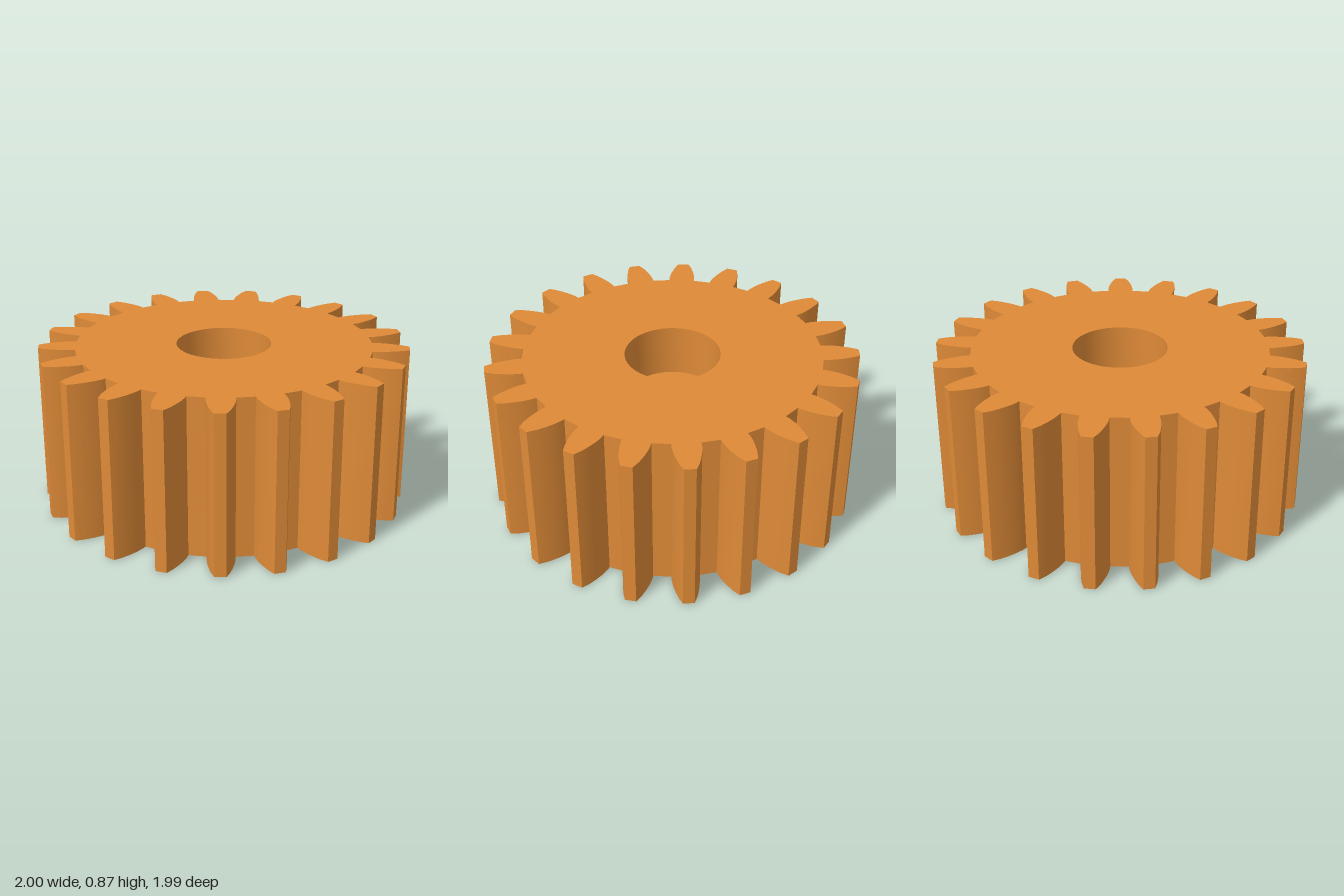
import * as THREE from 'three';
import { toCreasedNormals } from 'three/addons/utils/BufferGeometryUtils.js';

const HEIGHT = 0.87;
const TEETH = 21;
const TOP_BORE = 0.257, SHAFT = 0.145, BOTTOM_BORE = 0.4;
const LEDGE_TOP = 0.58, LEDGE_BOTTOM = 0.5;

// Half of one tooth: [half width, distance from the axis], root to tip
const FLANK = [[0.072, 0.8], [0.073, 0.83], [0.069, 0.87], [0.061, 0.91], [0.049, 0.955], [0.03, 1.0]];

function gearOutline() {
  const tooth = [
    ...FLANK.map(([w, r]) => [-w, r]),
    ...[...FLANK].reverse(),
  ];
  const points = [];
  for (let i = 0; i < TEETH; i++) {
    const a = -i * 2 * Math.PI / TEETH;
    for (const [x, y] of tooth) {
      points.push(new THREE.Vector2(x, y).rotateAround(new THREE.Vector2(), a));
    }
  }
  return points;
}

// Flat gear face with a round hole, facing up or down
function faceGeometry(outline, holeRadius, y, up) {
  const sign = up ? -1 : 1;
  const shape = new THREE.Shape(outline.map(p => new THREE.Vector2(p.x, sign * p.y)));
  const hole = new THREE.Path();
  hole.absarc(0, 0, holeRadius, 0, Math.PI * 2, true);
  shape.holes.push(hole);
  const geo = new THREE.ShapeGeometry(shape, 32);
  geo.rotateX(sign * Math.PI / 2);
  geo.translate(0, y, 0);
  return geo;
}

// Upright wall following the teeth, facing outwards
function wallGeometry(outline) {
  const pos = [];
  outline.forEach((p, i) => {
    const q = outline[(i + 1) % outline.length];
    pos.push(
      p.x, 0, p.y, q.x, HEIGHT, q.y, p.x, HEIGHT, p.y,
      p.x, 0, p.y, q.x, 0, q.y, q.x, HEIGHT, q.y,
    );
  });
  const geo = new THREE.BufferGeometry();
  geo.setAttribute('position', new THREE.Float32BufferAttribute(pos, 3));
  return toCreasedNormals(geo, 0.45);
}

export function createModel() {
  const group = new THREE.Group();
  group.name = 'spurGear';
  const orange = new THREE.MeshStandardMaterial({ color: 0xde8a37 });
  orange.name = 'orange';
  const add = (name, geo) => {
    const mesh = new THREE.Mesh(geo, orange);
    mesh.name = name;
    mesh.position.z = -0.004;
    group.add(mesh);
  };

  const outline = gearOutline();
  add('toothedWall', wallGeometry(outline));
  add('topFace', faceGeometry(outline, TOP_BORE, HEIGHT, true));
  add('bottomFace', faceGeometry(outline, BOTTOM_BORE, 0, false));

  // Stepped bore: recesses above and below a ledge around the shaft hole
  const profile = [
    [TOP_BORE, HEIGHT], [TOP_BORE, LEDGE_TOP], [SHAFT, LEDGE_TOP],
    [SHAFT, LEDGE_BOTTOM], [BOTTOM_BORE, LEDGE_BOTTOM], [BOTTOM_BORE, 0],
  ].map(([r, y]) => new THREE.Vector2(r, y));
  add('steppedBore', toCreasedNormals(new THREE.LatheGeometry(profile, 64), 0.6));

  return group;
}
